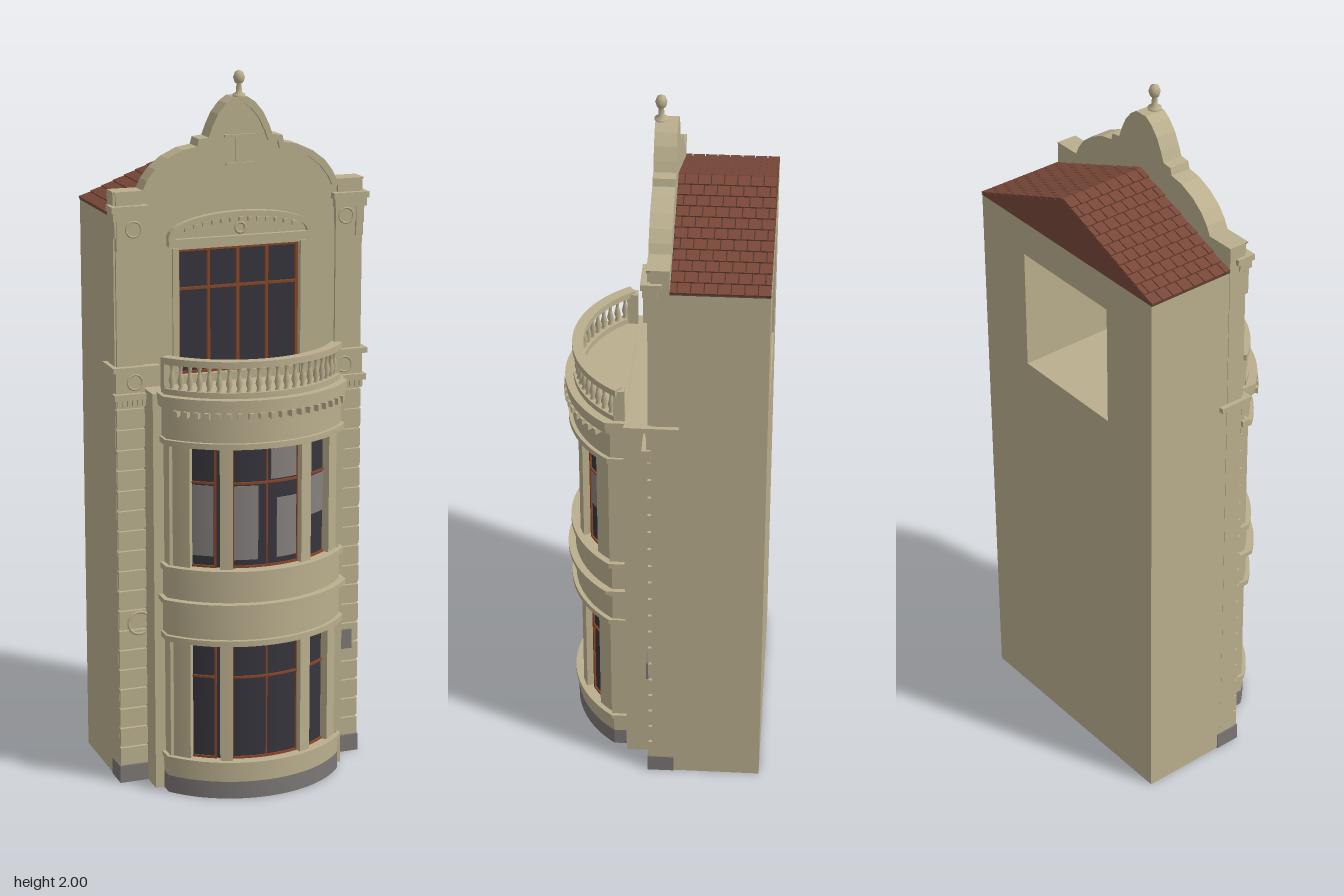
import * as THREE from 'three';
import { toCreasedNormals } from 'three/addons/utils/BufferGeometryUtils.js';

const mat = (name, color) => {
  const m = new THREE.MeshStandardMaterial({ color });
  m.name = name;
  return m;
};

export function createModel() {
  const M = {
    stone: mat('stone', 0xbaaf8e), plinth: mat('plinth grey', 0x7c7775), glass: mat('dark glass', 0x37353d),
    frame: mat('window frame', 0x8a4628), roof: mat('roof tile', 0x794839), gap: mat('tile gap', 0x4a352c),
    curtain: mat('curtain', 0x85807e),
  };
  const root = new THREE.Group();
  root.name = 'townhouse';
  const add = (name, geo, m = M.stone) => {
    const mesh = new THREE.Mesh(geo, m);
    mesh.name = name;
    root.add(mesh);
    return mesh;
  };
  // box given by its limits
  const box = (name, x0, x1, y0, y1, z0, z1, m) => {
    const b = add(name, new THREE.BoxGeometry(x1 - x0, y1 - y0, z1 - z0), m);
    b.position.set((x0 + x1) / 2, (y0 + y1) / 2, (z0 + z1) / 2);
    return b;
  };
  const pair = (name, x0, x1, ...rest) => {
    box(name, x0, x1, ...rest);
    box(name, -x1, -x0, ...rest);
  };
  const polygon = pts => new THREE.Shape(pts.map(p => new THREE.Vector2(p[0], p[1])));
  const rect = (x, y0, y1) => polygon([[-x, y0], [x, y0], [x, y1], [-x, y1]]);
  const extrudeZ = (shape, z0, z1) =>
    new THREE.ExtrudeGeometry(shape, { depth: z1 - z0, bevelEnabled: false }).translate(0, 0, z0);
  const extrudeUp = (shape, y0, y1) => toCreasedNormals(
    new THREE.ExtrudeGeometry(shape, { depth: y1 - y0, bevelEnabled: false }).rotateX(Math.PI / 2).translate(0, y1, 0), 0.5);

  // bay plan: arcs about one centre behind the facade
  const ZC = -0.06;
  const arc = (R, a, b, n) => Array.from({ length: n + 1 }, (_, i) => {
    const t = a + (b - a) * i / n;
    return [R * Math.sin(t), ZC + R * Math.cos(t)];
  });
  const slab = (name, R, x, y0, y1, m) => {
    const a = Math.asin(x / R);
    add(name, extrudeUp(polygon([[x, 0.098], ...arc(R, a, -a, 40), [-x, 0.098]]), y0, y1), m);
  };
  const curved = (name, r, R, x0, x1, y0, y1, m) => {
    const a = Math.asin(x0 / R), b = Math.asin(x1 / R), n = Math.max(2, Math.ceil((b - a) * 24));
    add(name, extrudeUp(polygon([...arc(R, b, a, n), ...arc(r, a, b, n)]), y0, y1), m);
  };

  // main body with the window shaft running through to the back
  const body = rect(0.36, 0, 1.62);
  body.holes.push(rect(0.177, 1.17, 1.52));
  add('body', extrudeZ(body, -0.288, -0.03));

  // front wall with the curved gable
  const half = [[0.362, 1.69], [0.28, 1.69], [0.268, 1.715], [0.245, 1.745], [0.21, 1.772], [0.165, 1.793],
    [0.125, 1.8], [0.12, 1.82], [0.092, 1.823], [0.082, 1.85], [0.065, 1.885], [0.042, 1.913], [0.02, 1.928]];
  const mirror = pts => [...pts, ...pts.slice().reverse().map(([x, y]) => [-x, y])];
  const wall = polygon([[-0.36, 0], [0.36, 0], ...mirror(half)]);
  wall.holes.push(rect(0.177, 1.17, 1.52));
  add('frontWall', extrudeZ(wall, -0.03, 0.02));
  const outer = mirror(half);
  const inner = mirror(half.map(([x, y]) => [Math.max(x - 0.012, 0.008), y - 0.016])).reverse();
  add('gableCoping', extrudeZ(polygon([...outer, ...inner]), 0.02, 0.03));
  box('gableReliefTop', -0.045, 0.045, 1.82, 1.827, 0.02, 0.027);
  box('gableReliefBase', -0.04, 0.04, 1.743, 1.75, 0.02, 0.027);
  box('gableReliefStem', -0.012, 0.012, 1.75, 1.82, 0.02, 0.024);

  // finial
  const finial = [[0.018, 0], [0.018, 0.006], [0.008, 0.012], [0.007, 0.035], [0.012, 0.038], [0.016, 0.052],
    [0.011, 0.066], [0, 0.072]].map(p => new THREE.Vector2(...p));
  add('finial', new THREE.LatheGeometry(finial, 16)).position.set(0, 1.928, 0.015);

  // roof: dark core with red gable ends and staggered tiles
  add('roofCore', extrudeZ(polygon([[-0.363, 1.62], [0.363, 1.62], [0, 1.764]]), -0.288, -0.03), [M.roof, M.gap]);
  const tilt = Math.atan2(0.144, 0.363), courses = 11, pitch = 0.0345;
  for (const s of [-1, 1]) for (let i = 0; i < courses; i++) {
    const x = (i + 0.5) * 0.363 / courses, y = 1.768 - 0.144 * x / 0.363;
    for (let z = -0.288 - (i % 2) * pitch / 2; z < -0.032; z += pitch) {
      const z0 = Math.max(z, -0.288), z1 = Math.min(z + pitch - 0.003, -0.03);
      if (z1 - z0 < 0.004) continue;
      const tile = box('roofTile', -0.0168, 0.0168, -0.003, 0.003, z0, z1, M.roof);
      tile.position.x = s * x;
      tile.position.y = y;
      tile.rotation.z = -s * (tilt - 0.07);
    }
  }

  // rusticated pilasters with plinths
  pair('pilasterPlinth', 0.28, 0.363, 0, 0.05, -0.042, 0.033, M.plinth);
  for (let i = 0; i < 18; i++) {
    const y = 0.052 + i * 0.058;
    pair('rusticBlock', 0.28, 0.36, y, y + 0.051, 0.02, 0.03);
  }
  // pilaster cornices, upper shafts and capitals
  pair('pilasterFrieze', 0.28, 0.362, 1.093, 1.195, 0.02, 0.032);
  pair('pilasterCornice', 0.272, 0.37, 1.118, 1.135, 0.02, 0.045);
  for (let i = 0; i < 6; i++) pair('pilasterDentil', 0.28 + i * 0.0145, 0.288 + i * 0.0145, 1.1, 1.118, 0.03, 0.04);
  pair('pilasterLedge', 0.24, 0.373, 1.195, 1.21, 0.02, 0.045);
  pair('ledgeReturn', 0.355, 0.373, 1.195, 1.21, -0.055, 0.02);
  pair('upperPilaster', 0.28, 0.357, 1.21, 1.57, 0.02, 0.028);
  pair('capitalNeck', 0.278, 0.362, 1.565, 1.612, 0.02, 0.034);
  pair('capital', 0.274, 0.367, 1.612, 1.635, 0.0, 0.04);
  pair('capitalTop', 0.268, 0.372, 1.635, 1.652, -0.01, 0.045);
  pair('capitalBracket', 0.337, 0.357, 1.53, 1.612, 0.02, 0.038);
  pair('parapetBlock', 0.285, 0.355, 1.652, 1.69, 0.02, 0.028);
  for (const s of [-1, 1]) for (const y of [1.165, 1.587]) {
    add('roundel', new THREE.TorusGeometry(0.021, 0.003, 6, 20)).position.set(s * 0.308, y, 0.034);
  }

  // bay: connecting wall, bands and ledges
  box('bayReturn', -0.28, 0.28, 0, 1.145, 0.02, 0.1);
  const bands = [
    ['bayPlinth', 0.323, 0.255, 0, 0.05, M.plinth], ['bayBase', 0.323, 0.255, 0.05, 0.098],
    ['lowerSill', 0.331, 0.26, 0.098, 0.11], ['lowerLedge', 0.335, 0.262, 0.452, 0.468],
    ['lowerFrieze', 0.323, 0.255, 0.468, 0.553], ['stringCourseUnder', 0.333, 0.262, 0.553, 0.562],
    ['stringCourse', 0.344, 0.268, 0.562, 0.575], ['bayApron', 0.323, 0.255, 0.575, 0.652],
    ['upperSill', 0.334, 0.262, 0.652, 0.668], ['upperLedge', 0.334, 0.262, 1.012, 1.028],
    ['upperFrieze', 0.323, 0.255, 1.028, 1.115], ['bayCornice', 0.338, 0.266, 1.115, 1.13],
    ['balconyFloor', 0.341, 0.268, 1.13, 1.15]];
  for (const b of bands) slab(...b);
  for (let i = -9; i <= 9; i++) {
    const a = i * 0.088;
    const d = add('bayDentil', new THREE.BoxGeometry(0.013, 0.018, 0.026));
    d.position.set(0.332 * Math.sin(a), 1.106, ZC + 0.332 * Math.cos(a));
    d.rotation.y = a;
  }

  // bay windows on two storeys
  for (const [y0, y1] of [[0.11, 0.452], [0.668, 1.012]]) {
    slab('bayGlass', 0.295, 0.205, y0, y1, M.glass);
    pair('bayJamb', 0.2, 0.25, y0, y1, 0.09, 0.145);
    for (const s of [-1, 1]) {
      const side = (name, r, R, a, b, ...rest) => curved(name, r, R, s > 0 ? a : -b, s > 0 ? b : -a, ...rest);
      side('bayColumn', 0.285, 0.316, 0.1, 0.133, y0, y1);
      side('bayOuterColumn', 0.285, 0.316, 0.204, 0.25, y0, y1);
      for (const x of [0.092, 0.136, 0.196]) side('frameUpright', 0.293, 0.3, x, x + 0.006, y0, y1, M.frame);
      for (const y of [y0, y0 + 0.237, y1 - 0.006]) side('frameRail', 0.293, 0.3, 0.136, 0.204, y, y + 0.006, M.frame);
    }
    for (const y of [y0, y0 + 0.237, y1 - 0.006]) curved('frameRail', 0.293, 0.3, -0.1, 0.1, y, y + 0.006, M.frame);
    curved('frameMullion', 0.293, 0.298, -0.002, 0.002, y0, y1, M.frame);
  }
  // curtains on the upper storey
  for (const [x0, x1, y0, y1] of [[-0.092, -0.025, 0.69, 0.9], [0.03, 0.092, 0.69, 0.86], [0.012, 0.092, 0.915, 1],
    [-0.198, -0.142, 0.7, 0.9], [0.142, 0.198, 0.79, 0.9]]) {
    curved('curtain', 0.292, 0.297, x0, x1, y0, y1, M.curtain);
  }

  // balcony balustrade
  curved('balustradeBase', 0.294, 0.318, -0.258, 0.258, 1.15, 1.166);
  curved('handrail', 0.29, 0.32, -0.263, 0.263, 1.234, 1.252);
  const profile = [[0.008, 0], [0.005, 0.008], [0.0095, 0.022], [0.005, 0.042], [0.004, 0.055], [0.008, 0.068]]
    .map(p => new THREE.Vector2(...p));
  const balusterGeo = new THREE.LatheGeometry(profile, 10);
  for (let i = -10; i <= 10; i++) {
    const a = i * 0.088;
    add('baluster', balusterGeo).position.set(0.306 * Math.sin(a), 1.166, ZC + 0.306 * Math.cos(a));
  }
  pair('balustradePost', 0.228, 0.256, 1.15, 1.245, 0.098, 0.128);

  // top window
  box('topGlass', -0.177, 0.177, 1.17, 1.52, -0.006, 0.0, M.glass);
  for (const y of [1.17, 1.405, 1.512]) box('topFrameRail', -0.177, 0.177, y, y + 0.007, 0, 0.007, M.frame);
  for (const x of [-0.173, -0.085, 0, 0.085, 0.173]) box('topFrameUpright', x - 0.004, x + 0.004, 1.17, 1.52, 0, 0.007, M.frame);
  pair('topSurround', 0.177, 0.195, 1.15, 1.525, 0.02, 0.027);

  // arched pediment over the top window
  const crown = (w, h, y) => Array.from({ length: 25 }, (_, i) => {
    const t = i / 24 * Math.PI;
    return [w * Math.cos(t), y + h * Math.pow(Math.sin(t), 0.85)];
  });
  add('pedimentArch', extrudeZ(polygon([...crown(0.212, 0.068, 1.552), ...crown(0.192, 0.052, 1.552).reverse()]), 0.02, 0.04));
  add('pedimentField', extrudeZ(polygon(crown(0.195, 0.054, 1.55)), 0.02, 0.024));
  box('pedimentBase', -0.21, 0.21, 1.533, 1.552, 0.02, 0.038);
  for (let i = -6; i <= 6; i++) {
    const x = i * 0.026, y = 1.545 + 0.052 * Math.sqrt(1 - (x / 0.2) ** 2);
    box('pedimentDentil', x - 0.006, x + 0.006, y - 0.007, y + 0.005, 0.02, 0.034);
  }
  add('medallion', new THREE.TorusGeometry(0.014, 0.004, 6, 18)).position.set(0, 1.572, 0.026);

  // wall plate and scroll bracket
  box('wallPlate', 0.28, 0.338, 0.32, 0.377, 0.03, 0.038, M.plinth);
  const scroll = add('scrollBracket', new THREE.TorusGeometry(0.032, 0.004, 6, 20, Math.PI * 1.4));
  scroll.position.set(-0.302, 0.472, 0.033);
  scroll.rotation.z = 0.9;
  return root;
}
